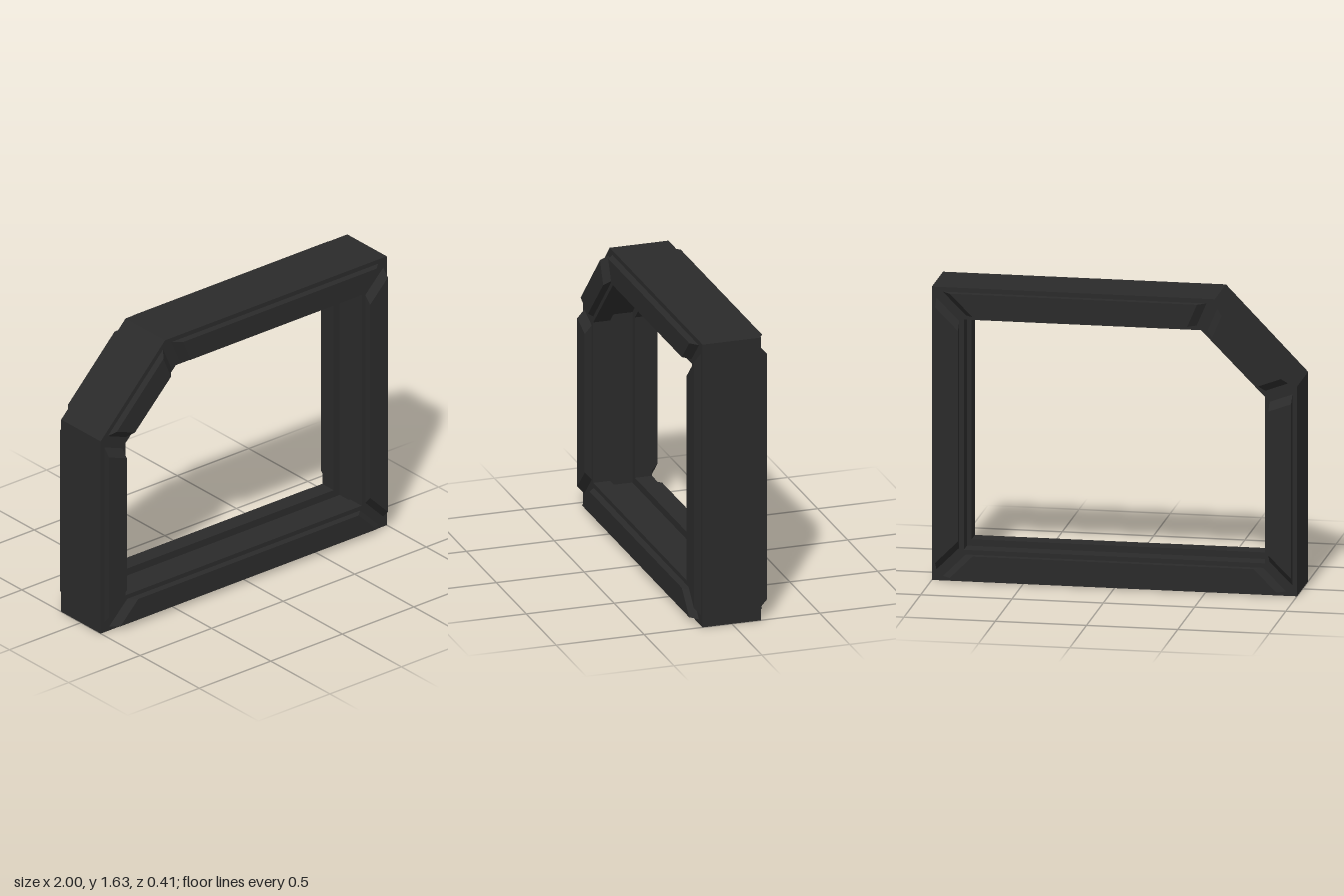
import * as THREE from 'three';

// Corners of the frame, counter-clockwise seen from the front
const OUTER = [[-1, 0], [1, 0], [1, 1.63], [-0.55, 1.63], [-1, 1.165]];
const INNER = [[-0.825, 0.175], [0.825, 0.175], [0.825, 1.455], [-0.475, 1.455], [-0.825, 1.1]];
const T = 0.175;       // beam thickness
const W = 0.167;       // half depth of the beams
const FACE = 0.207;    // half depth including the raised panels

// Beam section as [distance from the outer face, z], with a groove along the inner face
const SECTION = [[0, -W], [T, -W], [T, -0.07], [T - 0.042, -0.07],
  [T - 0.042, 0.07], [T, 0.07], [T, W], [0, W]];

const material = new THREE.MeshStandardMaterial({ color: 0x2a2a2a });

// Point on the mitre line of a corner
function mitre(corner, d, z) {
  const a = OUTER[corner], b = INNER[corner], t = d / T;
  return new THREE.Vector3(a[0] + (b[0] - a[0]) * t, a[1] + (b[1] - a[1]) * t, z);
}

// Flat-sided skin between two rings, optionally closed at the second ring
function loft(a, b, cap) {
  const points = [];
  const n = a.length;
  for (let k = 0; k < n; k++) {
    const m = (k + 1) % n;
    points.push(a[k], a[m], b[m], a[k], b[m], b[k]);
  }
  if (cap) for (let k = 1; k < n - 1; k++) points.push(b[0], b[k], b[k + 1]);
  const geometry = new THREE.BufferGeometry().setFromPoints(points);
  geometry.computeVertexNormals();
  return geometry;
}

// Panel outline, its ends pulled in from the mitres along the beam
function panelRing(i, j, z, inset) {
  const along = mitre(j, 0, 0).sub(mitre(i, 0, 0)).normalize().multiplyScalar(inset);
  return [
    mitre(i, 0.025, z).add(along), mitre(j, 0.025, z).sub(along),
    mitre(j, 0.15, z).sub(along), mitre(i, 0.15, z).add(along),
  ];
}

export function createModel() {
  const model = new THREE.Group();
  model.name = 'frame';
  const names = ['bottom', 'left', 'top', 'corner', 'right'];

  names.forEach((name, i) => {
    const j = (i + 1) % names.length;
    const side = new THREE.Group();
    side.name = name + 'Side';

    // Grooved, mitred beam
    const beam = new THREE.Mesh(loft(
      SECTION.map(([d, z]) => mitre(i, d, z)),
      SECTION.map(([d, z]) => mitre(j, d, z)), false), material);
    beam.name = name + 'Beam';
    side.add(beam);

    // Raised panels with sloping ends, front and back
    for (const s of [1, -1]) {
      const base = panelRing(i, j, s * W, 0.035);
      const top = panelRing(i, j, s * FACE, 0.08);
      if (s < 0) { base.reverse(); top.reverse(); }
      const panel = new THREE.Mesh(loft(base, top, true), material);
      panel.name = name + (s > 0 ? 'FrontPanel' : 'BackPanel');
      side.add(panel);
    }
    model.add(side);
  });
  return model;
}
